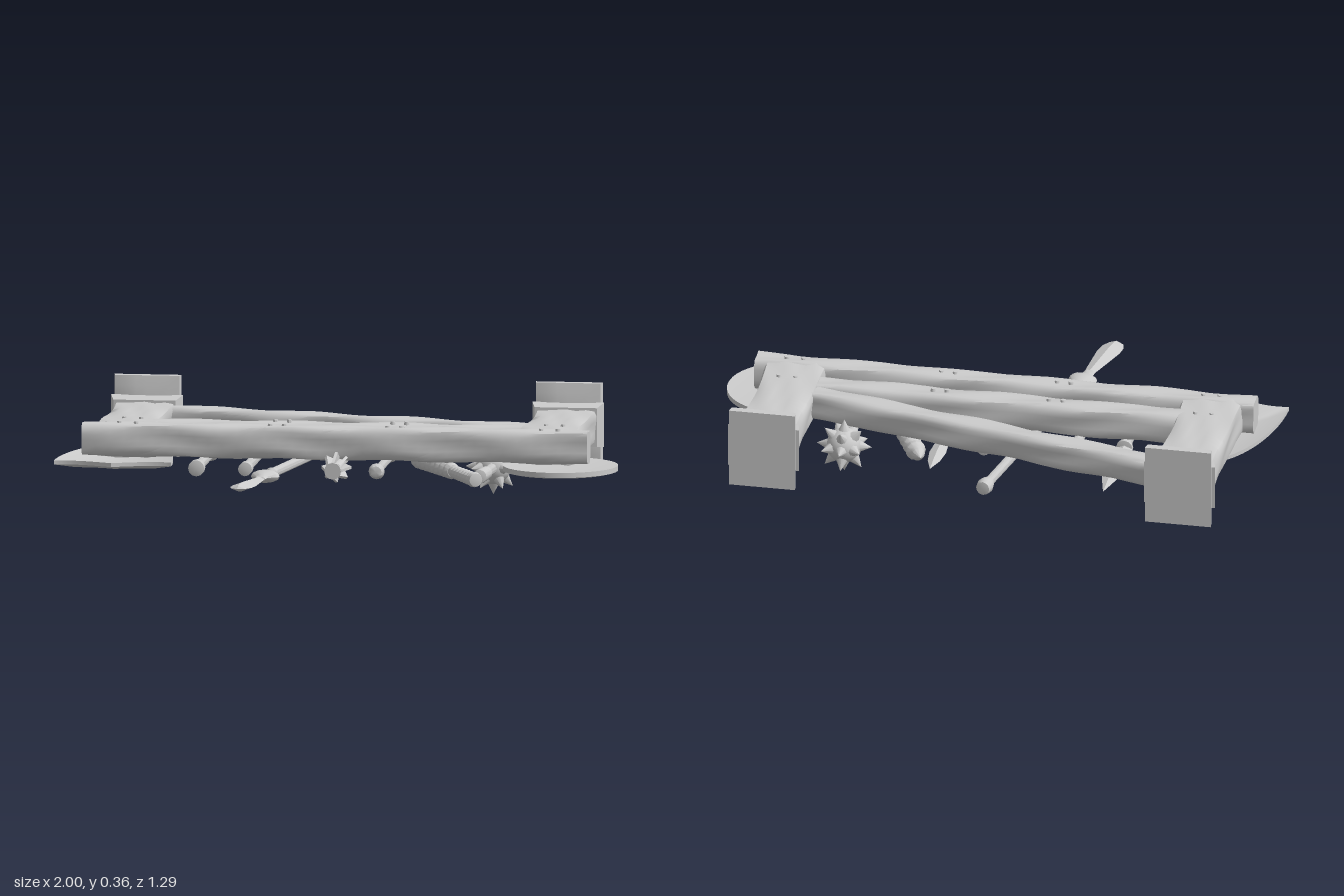
import * as THREE from 'three';
import { toCreasedNormals } from 'three/addons/utils/BufferGeometryUtils.js';

const material = new THREE.MeshStandardMaterial({ color: 0xcccccc });
const V = (x, y, z) => new THREE.Vector3(x, y, z);

function addMesh(parent, name, geometry, crease = 0.6) {
  const mesh = new THREE.Mesh(toCreasedNormals(geometry, crease), material);
  mesh.name = name;
  parent.add(mesh);
  return mesh;
}

// Moves every vertex of a geometry by a rule
function reshape(geometry, rule) {
  const p = geometry.attributes.position, v = V(0, 0, 0);
  for (let i = 0; i < p.count; i++) {
    rule(v.fromBufferAttribute(p, i), i);
    p.setXYZ(i, v.x, v.y, v.z);
  }
  return geometry;
}

// Rough timber lying along x, softened at its long edges
function timber(parent, name, length, height, width, waist = 0) {
  const geometry = new THREE.BoxGeometry(length, height, width, 36, 6, 6);
  reshape(geometry, (v) => {
    const a = Math.abs(v.y) / (height / 2), b = Math.abs(v.z) / (width / 2);
    const squeeze = 1 - waist * Math.cos(Math.PI * v.x / length);
    const round = a > 0.99 && b > 0.99 ? 0.006 : 0;
    const seed = length * 7 + width * 31;
    const { x, y, z } = v;
    v.y = (y - Math.sign(y) * round) * squeeze + 0.003 * Math.sin(x * 17 + z * 60 + seed);
    v.z = (z - Math.sign(z) * round) * squeeze + 0.003 * Math.sin(x * 13 + y * 50 + seed * 2);
  });
  return addMesh(parent, name, geometry, 0.7);
}

// Frame whose y axis runs from a to b and whose z axis points up
function axisGroup(parent, name, a, b) {
  const group = new THREE.Group();
  group.name = name;
  const dir = b.clone().sub(a).normalize(), side = dir.clone().cross(V(0, 1, 0)).normalize();
  const up = side.clone().cross(dir);
  group.quaternion.setFromRotationMatrix(new THREE.Matrix4().makeBasis(side, dir, up));
  group.position.copy(a);
  parent.add(group);
  return group;
}

// Turned part from [radius, distance] pairs; flat squashes it into a blade
function turned(parent, name, profile, sides = 12, flat = 1, crease = 0.7) {
  const geometry = new THREE.LatheGeometry(profile.map(([r, t]) => new THREE.Vector2(r, t)), sides);
  geometry.scale(1, 1, flat);
  return addMesh(parent, name, geometry, crease);
}

// Shallow dish that follows an outline of [x, z] points, bulging downwards
function dish(parent, name, outline, profile) {
  const points = profile.map(([r, y]) => new THREE.Vector2(r, y));
  const geometry = new THREE.LatheGeometry(points, outline.length - 1);
  reshape(geometry, (v, i) => {
    const o = outline[Math.floor(i / points.length)], r = profile[i % points.length][0];
    v.x = o.x * r;
    v.z = o.y * r;
  });
  return addMesh(parent, name, geometry, 0.6);
}

function ribbed(from, to, rStart, rEnd, ribs) {
  const profile = [[0, from]];
  for (let i = 0; i < ribs; i++) {
    const step = (to - from) / ribs, t = from + i * step, r = rStart + (rEnd - rStart) * i / (ribs - 1);
    profile.push([r * 0.72, t + step * 0.04], [r, t + step * 0.35], [r, t + step * 0.65], [r * 0.72, t + step * 0.96]);
  }
  profile.push([0, to]);
  return profile;
}

function buildFrame(root) {
  // Posts with flared feet
  for (const [x, side] of [[-0.77, 'right'], [0.738, 'left']]) {
    const post = timber(root, side + 'Post', 0.6, 0.125, 0.22, 0.06);
    post.rotation.y = Math.PI / 2;
    post.position.set(x, 0.212, -0.325);
    const foot = new THREE.BoxGeometry(0.24, 0.29, 0.045, 6, 8, 1);
    reshape(foot, (v) => {
      if (v.z > 0) {
        const edge = Math.max(Math.abs(v.x) / 0.12, Math.abs(v.y) / 0.145);
        v.z -= 0.016 * edge * edge;
        v.x *= 0.96;
      }
    });
    addMesh(root, side + 'Foot', foot).position.set(x, 0.215, -0.6225);
    // Sloping collar between post and foot
    const collar = new THREE.CylinderGeometry(0.158, 0.182, 0.07, 4, 1).rotateY(Math.PI / 4);
    collar.rotateX(Math.PI / 2).scale(1, 0.62, -1);
    const index = collar.index.array;
    for (let i = 0; i < index.length; i += 3) [index[i], index[i + 1]] = [index[i + 1], index[i]];
    addMesh(root, side + 'FootCollar', collar.rotateY(Math.PI)).position.set(x, 0.212, -0.58);
  }
  // Crossbeams and brace
  timber(root, 'frontBeam', 1.81, 0.115, 0.09).position.set(-0.015, 0.218, -0.005);
  timber(root, 'rearBeam', 1.36, 0.11, 0.095).position.set(-0.015, 0.213, -0.148);
  const brace = timber(root, 'diagonalBrace', 1.33, 0.1, 0.088);
  brace.position.set(-0.01, 0.215, -0.372);
  brace.rotation.y = -Math.atan2(0.31, 1.3);
  // Nails
  for (const z of [-0.005, -0.148])
    for (const x of [-0.79, -0.73, -0.25, -0.2, 0.17, 0.22, 0.72, 0.78]) {
      const nail = new THREE.CylinderGeometry(0.008, 0.01, 0.012, 8);
      addMesh(root, 'nail', nail).position.set(x, z > -0.1 ? 0.276 : 0.272, z);
    }
}

function buildShields(root) {
  // Pointed shield, one half drawn and mirrored
  const half = new THREE.Shape();
  half.moveTo(0, 0.235);
  half.quadraticCurveTo(0.07, 0.2, 0.12, 0.19);
  half.quadraticCurveTo(0.17, 0.18, 0.21, 0.19);
  half.bezierCurveTo(0.21, 0.02, 0.15, -0.25, 0, -0.31);
  const right = half.getPoints(12);
  const left = right.slice(0, -1).reverse().map((p) => new THREE.Vector2(-p.x, p.y));
  dish(root, 'pointedShield', [...right, ...left],
    [[0, -0.03], [0.4, -0.026], [0.7, -0.016], [0.93, -0.004], [1, 0], [1, 0.014], [0.7, 0], [0, -0.012]])
    .position.set(-0.79, 0.15, 0);
  // Round shield with rim and boss
  const circle = Array.from({ length: 49 }, (_, i) =>
    new THREE.Vector2(Math.sin(i * Math.PI / 24), Math.cos(i * Math.PI / 24)).multiplyScalar(0.205));
  dish(root, 'roundShield', circle,
    [[0, -0.022], [0.14, -0.018], [0.2, -0.008], [0.5, -0.007], [0.9, -0.003], [0.91, -0.009], [1, -0.004],
      [1, 0.014], [0.9, 0.012], [0, 0.004]]).position.set(0.79, 0.14, 0.003);
}

function buildWeapons(root) {
  // Sword with a broad leaf blade
  const sword = axisGroup(root, 'sword', V(-0.49, 0.145, 0.2), V(-0.487, 0.145, -0.59));
  turned(sword, 'grip', [[0, 0], [0.029, 0.008], [0.029, 0.04], [0.018, 0.06], [0.018, 0.4], [0.03, 0.41], [0.03, 0.425], [0, 0.43]]);
  turned(sword, 'blade', [[0.02, 0.38], [0.036, 0.45], [0.03, 0.53], [0.038, 0.62], [0.025, 0.69], [0, 0.79]], 4, 0.4, 0.1);

  // Double-bladed axe
  const axe = axisGroup(root, 'axe', V(-0.315, 0.145, 0.2), V(-0.315, 0.145, -0.39));
  turned(axe, 'handle', [[0, 0], [0.025, 0.006], [0.025, 0.05], [0.018, 0.07], [0.018, 0.58], [0, 0.59]]);
  const edge = new THREE.Shape();
  edge.moveTo(0, 0.51);
  edge.quadraticCurveTo(0.06, 0.51, 0.1, 0.475);
  edge.quadraticCurveTo(0.135, 0.53, 0.1, 0.595);
  edge.quadraticCurveTo(0.06, 0.555, 0, 0.555);
  for (const turn of [0, Math.PI]) {
    const blade = new THREE.ExtrudeGeometry(edge, { depth: 0.014, bevelEnabled: false, curveSegments: 8 });
    addMesh(axe, 'axeBlade', blade.translate(0, 0, -0.007).rotateY(turn));
  }

  // Spear, its head reaching out past the front
  const spear = axisGroup(root, 'spear', V(-0.06, 0.14, -0.645), V(-0.285, 0.138, 0.645));
  turned(spear, 'shaft', [[0, 0], [0.025, 0.005], [0.03, 0.03], [0.024, 0.055], [0.017, 0.075], [0.017, 0.86],
    [0.022, 0.9], [0, 0.93]]);
  turned(spear, 'socket', [[0.018, 0.9], [0.03, 0.93], [0.052, 0.965], [0.05, 0.985], [0.022, 1.01], [0.02, 1.04], [0, 1.05]], 12, 0.45);
  turned(spear, 'spearhead', [[0.014, 1.0], [0.024, 1.07], [0.042, 1.22], [0.04, 1.265], [0.026, 1.297], [0, 1.309]], 4, 0.38, 0.1);

  // Flanged mace
  const mace = axisGroup(root, 'flangedMace', V(0, 0.145, -0.34), V(0, 0.145, 0.205));
  turned(mace, 'handle', [[0, 0], [0.024, 0.006], [0.024, 0.04], [0.017, 0.06], [0.017, 0.37], [0.025, 0.39], [0.025, 0.53], [0.03, 0.535], [0.03, 0.545], [0, 0.545]]);
  const flange = new THREE.Shape([[0.01, 0.38], [0.03, 0.39], [0.054, 0.44], [0.03, 0.53], [0.01, 0.54]]
    .map(([x, y]) => new THREE.Vector2(x, y)));
  for (let i = 0; i < 8; i++) {
    const plate = new THREE.ExtrudeGeometry(flange, { depth: 0.01, bevelEnabled: false }).translate(0, 0, -0.005);
    addMesh(mace, 'flange', plate.rotateY(i * Math.PI / 4));
  }

  // Short spear with a slim blade
  const dart = axisGroup(root, 'shortSpear', V(0.155, 0.145, 0.208), V(0.153, 0.145, -0.53));
  turned(dart, 'shaft', [[0, 0], [0.02, 0.006], [0.029, 0.026], [0.02, 0.046], [0.015, 0.056], [0.015, 0.4], [0.024, 0.42], [0.024, 0.45], [0, 0.46]]);
  turned(dart, 'blade', [[0.015, 0.43], [0.022, 0.48], [0.03, 0.6], [0.022, 0.67], [0, 0.738]], 4, 0.45, 0.1);

  // Ridged club
  const club = axisGroup(root, 'ridgedClub', V(0.515, 0.122, 0.205), V(0.215, 0.118, -0.395));
  turned(club, 'handle', [[0, 0], [0.024, 0.005], [0.028, 0.025], [0.02, 0.04], [0.02, 0.3], [0, 0.3]]);
  turned(club, 'gripWrap', ribbed(0.03, 0.24, 0.026, 0.024, 7));
  turned(club, 'ridgedHead', ribbed(0.25, 0.625, 0.03, 0.036, 8));
  turned(club, 'tip', [[0.028, 0.61], [0.024, 0.64], [0, 0.67]]);

  // Spiked mace
  const star = axisGroup(root, 'spikedMace', V(0.522, 0.13, 0.17), V(0.51, 0.095, -0.305));
  turned(star, 'handle', [[0, 0], [0.024, 0.006], [0.026, 0.025], [0.018, 0.04], [0.018, 0.45], [0, 0.45]]);
  turned(star, 'gripWrap', ribbed(0.03, 0.22, 0.025, 0.024, 6));
  const head = new THREE.Group();
  head.name = 'spikedHead';
  head.position.set(0.51, 0.1, -0.305);
  root.add(head);
  addMesh(head, 'ball', new THREE.SphereGeometry(0.063, 24, 16), 1);
  const spikes = [V(0, 1, 0), V(0, -1, 0)];
  for (let i = 0; i < 8; i++) spikes.push(V(Math.sin(i * Math.PI / 4), 0, Math.cos(i * Math.PI / 4)));
  for (let i = 0; i < 10; i++) {
    const a = (i + 0.5) * Math.PI * 0.4;
    spikes.push(V(Math.sin(a) * 0.7, i < 5 ? 0.71 : -0.71, Math.cos(a) * 0.7));
  }
  for (const dir of spikes) {
    const spike = addMesh(head, 'spike', new THREE.ConeGeometry(0.025, 0.05, 8).translate(0, 0.075, 0), 1);
    spike.quaternion.setFromUnitVectors(V(0, 1, 0), dir.normalize());
  }
}

export function createModel() {
  const root = new THREE.Group();
  root.name = 'weaponRack';
  buildFrame(root);
  buildShields(root);
  buildWeapons(root);
  return root;
}
